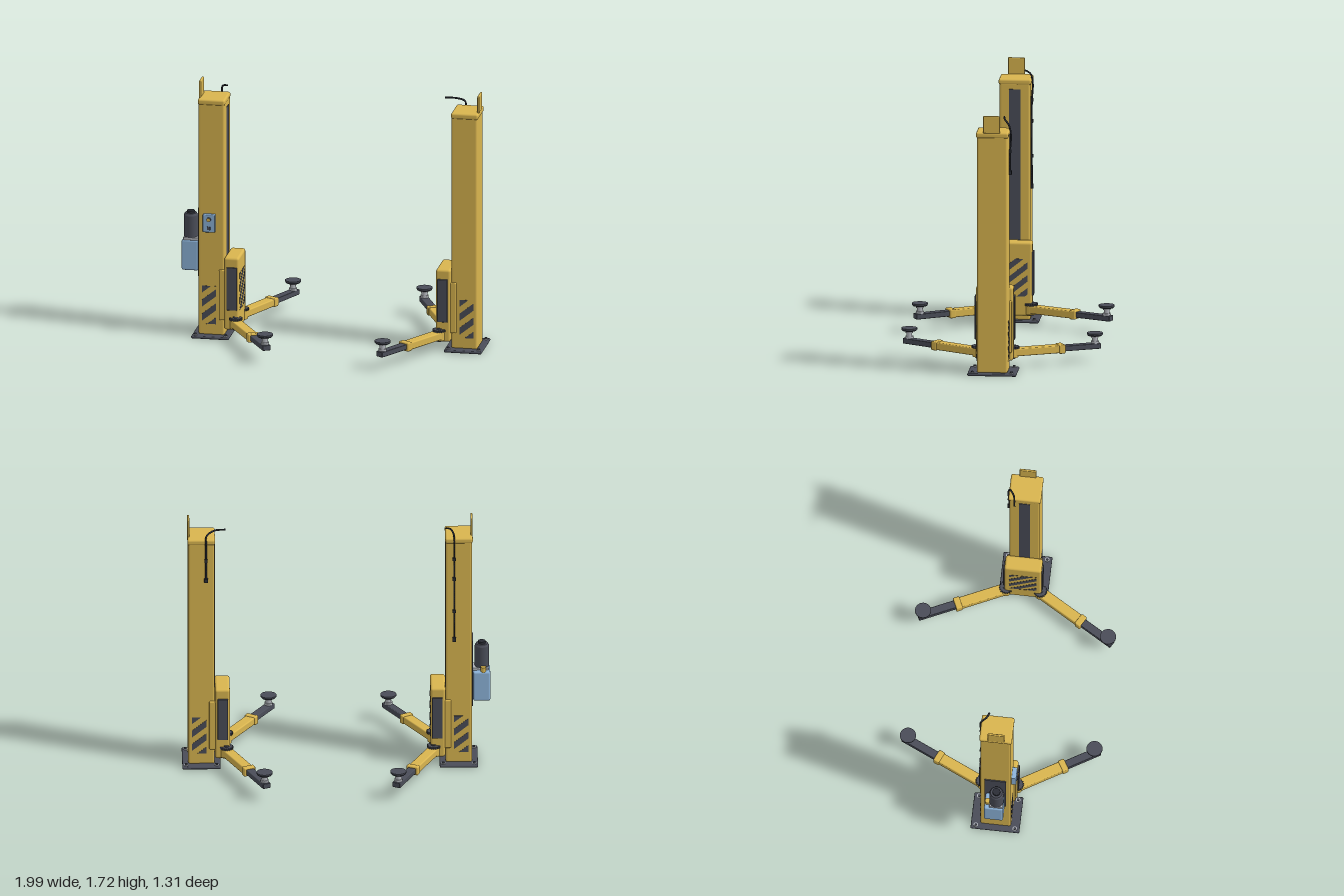
import * as THREE from 'three';
import { RoundedBoxGeometry } from 'three/addons/geometries/RoundedBoxGeometry.js';

const paint = (name, color) => {
  const m = new THREE.MeshStandardMaterial({ color });
  m.name = name;
  return m;
};
const yellow = paint('yellow paint', 0xd9b54f);
const dark = paint('dark grey', 0x4a4d58);
const black = paint('black rubber', 0x2b2e36);
const blue = paint('blue paint', 0x8db4da);
const steel = paint('steel', 0xb4b7bd);

function add(parent, name, geometry, material, x = 0, y = 0, z = 0) {
  const mesh = new THREE.Mesh(geometry, material);
  mesh.name = name;
  mesh.position.set(x, y, z);
  parent.add(mesh);
  return mesh;
}

// Box given by its extents, with rounded edges when r > 0
function box(parent, name, mat, [x0, x1], [y0, y1], [z0, z1], r = 0) {
  const w = Math.abs(x1 - x0), h = y1 - y0, d = z1 - z0;
  const geo = r ? new RoundedBoxGeometry(w, h, d, 3, r) : new THREE.BoxGeometry(w, h, d);
  return add(parent, name, geo, mat, (x0 + x1) / 2, (y0 + y1) / 2, (z0 + z1) / 2);
}

function cyl(parent, name, mat, r, y0, y1, x = 0, z = 0, sides = 28, rTop = r) {
  return add(parent, name, new THREE.CylinderGeometry(rTop, r, y1 - y0, sides), mat, x, (y0 + y1) / 2, z);
}

// Diagonal warning stripes cut off at the edges of a w x h rectangle
function stripes(w, h, slope, first, period, thick) {
  const shapes = [];
  const clamp = (v) => Math.min(h, Math.max(0, v));
  for (let c = first; c < h; c += period) {
    const xs = [0, w, -c / slope, (h - c) / slope, (-c - thick) / slope, (h - c - thick) / slope]
      .filter((x) => x >= 0 && x <= w).sort((a, b) => a - b);
    const low = xs.map((x) => new THREE.Vector2(x - w / 2, clamp(c + slope * x)));
    const high = xs.map((x) => new THREE.Vector2(x - w / 2, clamp(c + thick + slope * x)));
    const pts = [...low, ...high.reverse()].filter((p, i, a) => i === 0 || p.distanceTo(a[i - 1]) > 1e-5);
    if (pts[0].distanceTo(pts[pts.length - 1]) < 1e-5) pts.pop();
    if (pts.length > 2) shapes.push(new THREE.Shape(pts));
  }
  return new THREE.ExtrudeGeometry(shapes, { depth: 0.002, bevelEnabled: false });
}

// Toothed locking disc lying flat
function gearGeometry(teeth, rOut, rIn, depth) {
  const pts = [];
  for (let i = 0; i < teeth * 4; i++) {
    const a = (i / (teeth * 4)) * Math.PI * 2, r = i % 4 < 2 ? rOut : rIn;
    pts.push(new THREE.Vector2(Math.cos(a) * r, Math.sin(a) * r));
  }
  return new THREE.ExtrudeGeometry(new THREE.Shape(pts), { depth, bevelEnabled: false }).rotateX(-Math.PI / 2);
}

// Telescopic arm along local +x from its pivot, ending in a lifting pad
function makeArm(length) {
  const arm = new THREE.Group();
  arm.name = 'liftingArm';
  cyl(arm, 'armKnuckle', yellow, 0.037, 0.072, 0.134);
  add(arm, 'lockingGear', gearGeometry(18, 0.045, 0.038, 0.014), dark, 0, 0.13, 0);
  cyl(arm, 'pivotPin', dark, 0.018, 0.062, 0.152);
  box(arm, 'outerArm', yellow, [0, 0.335], [0.08, 0.13], [-0.035, 0.035], 0.008);
  box(arm, 'armCollar', yellow, [0.308, 0.35], [0.076, 0.135], [-0.041, 0.041], 0.008);
  box(arm, 'innerArm', dark, [0.3, length + 0.035], [0.088, 0.124], [-0.027, 0.027], 0.005);
  cyl(arm, 'padSocket', steel, 0.026, 0.122, 0.138, length);
  cyl(arm, 'padScrew', steel, 0.019, 0.13, 0.165, length);
  cyl(arm, 'padNeck', steel, 0.024, 0.16, 0.177, length);
  cyl(arm, 'liftingPad', dark, 0.046, 0.174, 0.182, length, 0, 32, 0.052);
  cyl(arm, 'padRubber', dark, 0.052, 0.182, 0.192, length, 0, 32);
  return arm;
}

// One post; s is the side of the model it stands on, u runs towards the middle
function makePost(s) {
  const post = new THREE.Group();
  post.name = s > 0 ? 'leftPost' : 'rightPost';
  const U = (a, b) => [-s * a, -s * b];

  // Base plate with anchor bolts
  box(post, 'basePlate', dark, U(-0.124, 0.124), [0, 0.018], [-0.159, 0.159], 0.008);
  for (const u of [-0.1, 0.1]) for (const z of [-0.127, 0.127]) {
    cyl(post, 'boltWasher', steel, 0.015, 0.017, 0.021, -s * u, z, 20);
    cyl(post, 'anchorBolt', dark, 0.009, 0.02, 0.03, -s * u, z, 6);
  }

  // Column, cap and top plate
  box(post, 'column', yellow, U(-0.086, 0.086), [0.012, 1.585], [-0.1, 0.1], 0.014);
  box(post, 'columnCap', yellow, U(-0.091, 0.088), [1.568, 1.606], [-0.106, 0.106], 0.013);
  box(post, 'topPlate', yellow, U(-0.091, -0.077), [1.6, 1.715], [-0.051, 0.059], 0.006);
  box(post, 'slideSlot', dark, U(0.08, 0.0885), [0.08, 1.54], [-0.037, 0.037]);

  // Warning stripes on the front and back of the column
  for (const f of [1, -1]) {
    const m = add(post, 'columnStripes', stripes(0.093, 0.257, 0.8, -0.075, 0.095, 0.048), dark, s * 0.015, 0.088, f * 0.1);
    if (f < 0) m.rotation.y = Math.PI;
  }

  // Carriage riding on the column
  box(post, 'carriage', yellow, U(0.087, 0.184), [0.06, 0.548], [-0.121, 0.121], 0.016);
  for (const f of [1, -1]) {
    const side = (a, b) => (f > 0 ? [a, b] : [-b, -a]);
    box(post, 'carriageGuide', yellow, U(0.05, 0.112), [0.12, 0.46], side(0.09, 0.113), 0.008);
    box(post, 'carriageSidePanel', dark, U(0.105, 0.173), [0.195, 0.484], side(0.118, 0.13), 0.004);
  }
  const inner = add(post, 'carriageStripes', stripes(0.18, 0.25, 0.8, -0.13, 0.085, 0.043), dark, -s * 0.1835, 0.19, 0);
  inner.rotation.y = (-s * Math.PI) / 2;

  // Swing arms: pivot side and pad position
  for (const [pz, u, z] of [[0.112, 0.445, 0.585], [-0.112, 0.4, -0.625]]) {
    const du = -s * (u - 0.162), dz = z - pz;
    const arm = makeArm(Math.hypot(du, dz));
    arm.position.set(-s * 0.162, 0, pz);
    arm.rotation.y = Math.atan2(-dz, du);
    post.add(arm);
  }

  // Cable down the back, over the cap, with clips and an end fitting
  const low = s < 0 ? 0.88 : 1.31, end = s < 0 ? 0.082 : 0.157;
  const path = [
    [0.03, low, -0.106], [0.03, 1.45, -0.106], [0.03, 1.57, -0.112], [0.032, 1.63, -0.1],
    [0.03 + (end - 0.03) * 0.4, 1.657, -0.07], [end, 1.66, -0.058],
  ].map(([u, y, z]) => new THREE.Vector3(-s * u, y, z));
  add(post, 'cable', new THREE.TubeGeometry(new THREE.CatmullRomCurve3(path), 60, 0.006, 8), black);
  for (const y of s < 0 ? [1.46, 1.32, 1.09] : [1.46]) {
    box(post, 'cableClip', black, U(0.02, 0.04), [y - 0.01, y + 0.01], [-0.115, -0.097]);
  }
  box(post, 'cableEnd', black, U(0.018, 0.042), [low - 0.005, low + 0.025], [-0.117, -0.097], 0.003);
  return post;
}

// Motor, tank and control box carried by one post
function addPowerUnit(post) {
  box(post, 'mountingPlate', dark, [-0.093, -0.084], [0.4, 0.86], [-0.07, 0.07]);
  box(post, 'oilTank', blue, [-0.205, -0.094], [0.43, 0.635], [-0.062, 0.062], 0.012);
  box(post, 'pumpBlock', steel, [-0.195, -0.092], [0.632, 0.652], [-0.03, 0.058], 0.004);
  cyl(post, 'motor', dark, 0.046, 0.65, 0.795, -0.151, 0.014, 36);
  cyl(post, 'motorShoulder', dark, 0.046, 0.795, 0.81, -0.151, 0.014, 36, 0.038);
  cyl(post, 'motorCap', black, 0.025, 0.808, 0.825, -0.151, 0.014);
  cyl(post, 'fillerCap', yellow, 0.018, 0.63, 0.665, -0.16, -0.042, 24);

  box(post, 'controlBox', blue, [-0.052, 0.028], [0.715, 0.835], [0.098, 0.132], 0.006);
  const disc = (name, mat, r, y, z) => {
    cyl(post, name, mat, r, y - 0.005, y + 0.005, -0.012, z, 24).rotation.x = Math.PI / 2;
  };
  disc('buttonRing', dark, 0.015, 0.803, 0.134);
  disc('button', yellow, 0.011, 0.803, 0.138);
  box(post, 'switch', dark, [-0.023, -0.001], [0.733, 0.755], [0.13, 0.139], 0.003);
}

export function createModel() {
  const model = new THREE.Group();
  model.name = 'twoPostLift';
  for (const s of [-1, 1]) {
    const post = makePost(s);
    post.position.set(0.0375 + s * 0.833, 0, 0.02);
    if (s < 0) addPowerUnit(post);
    model.add(post);
  }
  return model;
}
